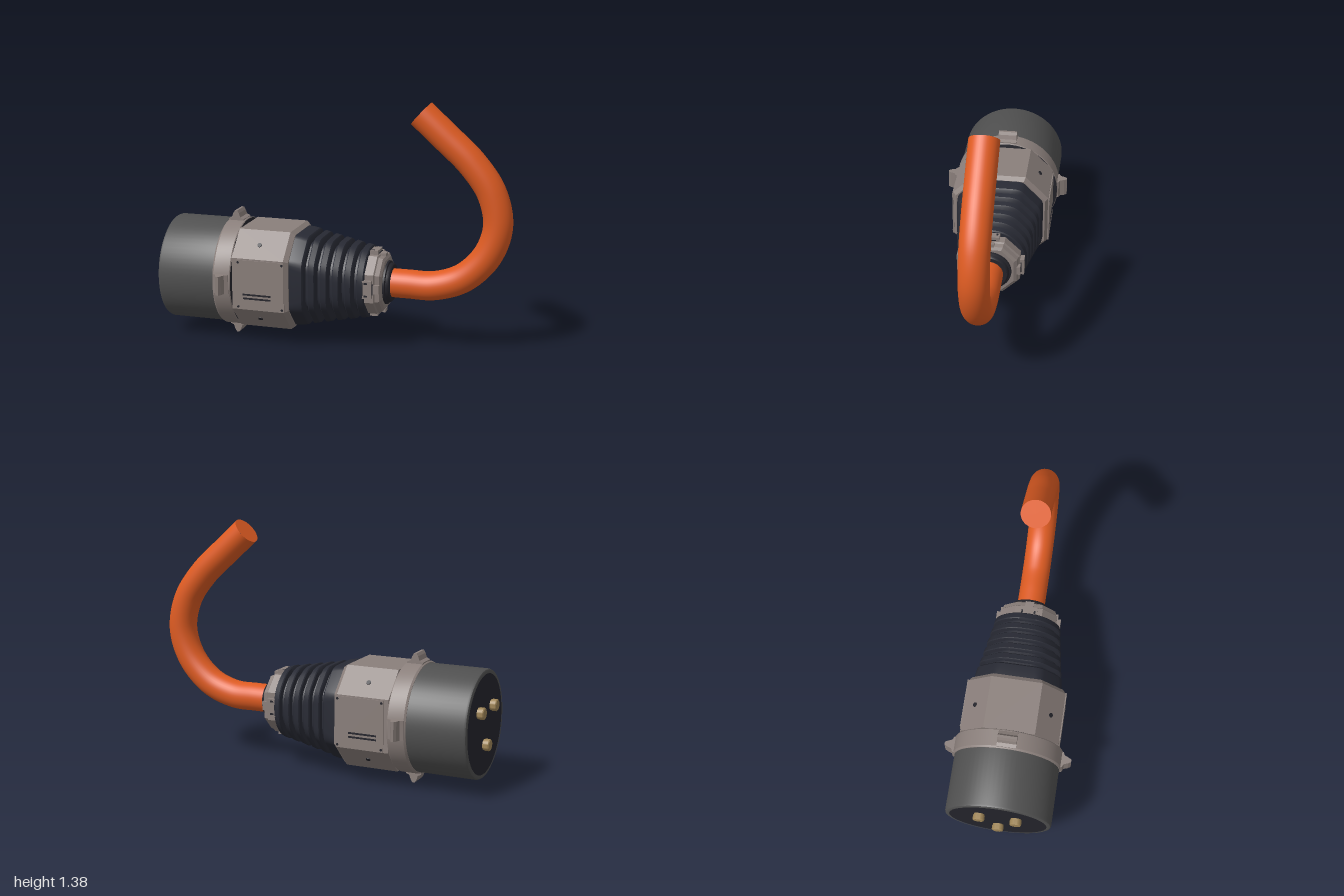
import * as THREE from 'three';
import { toCreasedNormals } from 'three/addons/utils/BufferGeometryUtils.js';

const mat = (name, color) => Object.assign(new THREE.MeshStandardMaterial({ color }), { name });

// Round part along the x axis from [x, radius] pairs
function turned(profile, segments = 64) {
  const g = new THREE.LatheGeometry(profile.map(([x, r]) => new THREE.Vector2(r, x)), segments);
  g.rotateZ(-Math.PI / 2);
  return toCreasedNormals(g, 0.6);
}

// Octagon in the yz plane: half size a, half flat c, corners softened by s (0 = sharp)
function octagon(a, c, s = 0, zScale = 1) {
  const p = [[a, -c], [a, c], [c, a], [-c, a], [-a, c], [-a, -c], [-c, -a], [c, -a]];
  if (!s) return p.map(([y, z]) => [y, z * zScale]);
  const out = [];
  p.forEach((q, i) => {
    const before = p[(i + 7) % 8], after = p[(i + 1) % 8];
    for (let k = 0; k <= 4; k++) {
      const t = k / 4, u = s * (1 - t) ** 2, v = s * t ** 2;
      const mix = (n) => q[n] + (before[n] - q[n]) * u + (after[n] - q[n]) * v;
      out.push([mix(0), mix(1) * zScale]);
    }
  });
  return out;
}

// Skin over rings given as { x, ring }, closed at both ends
function loft(rows, crease = 0.5) {
  const v = [], n = rows[0].ring.length;
  const at = (i, j) => [rows[i].x, ...rows[i].ring[j % n]];
  const last = rows.length - 1;
  for (let j = 0; j < n; j++) {
    for (let i = 0; i < last; i++) {
      const a = at(i, j), b = at(i, j + 1), c = at(i + 1, j + 1), d = at(i + 1, j);
      v.push(...a, ...b, ...c, ...a, ...c, ...d);
    }
    v.push(rows[0].x, 0, 0, ...at(0, j + 1), ...at(0, j));
    v.push(rows[last].x, 0, 0, ...at(last, j), ...at(last, j + 1));
  }
  const g = new THREE.BufferGeometry();
  g.setAttribute('position', new THREE.Float32BufferAttribute(v, 3));
  return toCreasedNormals(g, crease);
}

export function createModel() {
  const grey = mat('dark grey shell', 0x505050);
  const taupe = mat('warm grey housing', 0x8a7f7b);
  const rubber = mat('black blue rubber', 0x282a34);
  const dark = mat('dark details', 0x25252c);
  const orange = mat('orange cable', 0xdd5b22);
  const brass = mat('brass', 0xa08658);

  const model = new THREE.Group();
  const plug = new THREE.Group();
  plug.name = 'plug';
  plug.position.y = 0.3625;
  model.add(plug);

  const add = (name, geo, material, parent = plug, pos = [0, 0, 0]) => {
    const m = new THREE.Mesh(geo, material);
    m.name = name;
    m.position.set(...pos);
    parent.add(m);
    return m;
  };
  const box = (name, size, pos, material, parent) =>
    add(name, new THREE.BoxGeometry(...size), material, parent, pos);
  // Group whose local y points outward at the given angle about the axis
  const spoke = (name, angle) => {
    const g = new THREE.Group();
    g.name = name;
    g.rotation.x = angle;
    plug.add(g);
    return g;
  };

  // Socket shell, contact face and pins
  add('shell', turned([[-0.966, 0.275], [-0.966, 0.288], [-0.962, 0.296], [-0.952, 0.3], [-0.62, 0.3]]), grey);
  add('contactFace', turned([[-0.963, 0], [-0.963, 0.28], [-0.93, 0.28]]), dark);
  for (const [y, z] of [[0.085, -0.103], [0.085, 0.103], [-0.112, 0]]) {
    add('pin', turned([[-1, 0], [-1, 0.028], [-0.995, 0.033], [-0.972, 0.033], [-0.972, 0.03], [-0.94, 0.03]], 24),
      brass, plug, [0, y, z]);
  }

  // Collar with four lugs
  add('collar', turned([[-0.632, 0.29], [-0.632, 0.303], [-0.622, 0.31], [-0.53, 0.31], [-0.525, 0.306]]), taupe);
  add('collarBack', turned([[-0.525, 0.306], [-0.523, 0.3], [-0.523, 0]]), dark);
  const lugShape = new THREE.Shape([
    [-0.625, 0.29], [-0.535, 0.29], [-0.535, 0.313], [-0.555, 0.322], [-0.564, 0.346], [-0.574, 0.362],
    [-0.588, 0.362], [-0.598, 0.346], [-0.606, 0.322], [-0.625, 0.313],
  ].map((p) => new THREE.Vector2(...p)));
  const lugGeo = new THREE.ExtrudeGeometry(lugShape, { depth: 0.108, bevelEnabled: false });
  lugGeo.translate(0, 0, -0.054);

  // Octagonal housing with a bevelled rear edge
  add('housing', loft([
    { x: -0.524, ring: octagon(0.283, 0.147, 0, 0.985) },
    { x: -0.222, ring: octagon(0.283, 0.147, 0, 0.985) },
    { x: -0.198, ring: octagon(0.265, 0.138, 0, 0.985) },
  ], 0.2), taupe);

  // Side cover plates with slots and corner screws
  for (const side of [1, -1]) {
    const cover = new THREE.Group();
    cover.name = 'coverPlate';
    plug.add(cover);
    box('plate', [0.28, 0.284, 0.008], [-0.356, -0.002, side * 0.281], taupe, cover);
    for (const y of [-0.058, -0.08]) box('slot', [0.165, 0.01, 0.004], [-0.375, y, side * 0.2845], dark, cover);
    for (const x of [-0.485, -0.227]) for (const y of [-0.13, 0.126]) {
      const s = add('plateScrew', new THREE.CylinderGeometry(0.007, 0.007, 0.005, 12), dark, cover, [x, y, side * 0.285]);
      s.rotation.x = Math.PI / 2;
    }
  }

  // Ribbed rubber boot, octagonal at the housing and rounder at the nut
  const bootRow = (x, a) => {
    const t = (x + 0.2) / 0.4;
    return { x, ring: octagon(a, a * (0.52 - 0.1 * t), 0.12 + 0.33 * t, 0.95) };
  };
  const boot = [bootRow(-0.2, 0.264), bootRow(-0.165, 0.263), bootRow(-0.128, 0.258), bootRow(-0.12, 0.25)];
  for (let i = 0; i < 5; i++) {
    const x = -0.118 + i * 0.067, r = 0.251 - i * 0.0105;
    boot.push(bootRow(x + 0.004, r - 0.03), bootRow(x + 0.018, r - 0.03), bootRow(x + 0.023, r - 0.005),
      bootRow(x + 0.028, r), bootRow(x + 0.057, r - 0.006), bootRow(x + 0.062, r - 0.013));
  }
  add('boot', loft(boot, 0.6), rubber);

  // Clamp nut and sleeve
  const nutRow = (x, a) => ({ x, ring: octagon(a, a * 0.48) });
  add('clampNut', loft([nutRow(0.188, 0.158), nutRow(0.196, 0.166), nutRow(0.262, 0.166),
    nutRow(0.268, 0.158), nutRow(0.292, 0.152), nutRow(0.302, 0.136)], 0.2), taupe);
  add('sleeve', turned([[0.29, 0.125], [0.312, 0.122], [0.316, 0.112], [0.33, 0.108], [0.335, 0.102], [0.335, 0.075]]), dark);

  for (let k = 0; k < 4; k++) {
    const square = spoke('quarterDetails', k * Math.PI / 2);
    add('lug', lugGeo, taupe, square);
    // Nut clip with its latch
    box('clip', [0.055, 0.035, 0.1], [0.229, 0.172, 0], taupe, square);
    box('clipLatch', [0.045, 0.02, 0.05], [0.273, 0.161, 0], taupe, square);
    box('clipSlot', [0.008, 0.004, 0.064], [0.258, 0.172, 0], dark, square);
    for (const z of [-0.036, 0.036]) box('clipNotch', [0.02, 0.004, 0.01], [0.225, 0.1885, z], dark, square);
    // Screw on the sloping housing face
    const diagonal = spoke('diagonalDetails', (k + 0.5) * Math.PI / 2);
    add('housingScrew', new THREE.CylinderGeometry(0.013, 0.013, 0.006, 16), dark, diagonal, [-0.38, 0.303, 0]);
  }

  // Bent cable with closed end
  const path = new THREE.CatmullRomCurve3([
    [0.28, 0.3625], [0.42, 0.3625], [0.57, 0.366], [0.73, 0.425], [0.86, 0.56], [0.914, 0.73],
    [0.875, 0.91], [0.765, 1.065], [0.62, 1.2], [0.48, 1.325],
  ].map(([x, y]) => new THREE.Vector3(x, y, 0)), false, 'centripetal');
  add('cable', new THREE.TubeGeometry(path, 96, 0.081, 40), orange, model);
  const end = add('cableEnd', new THREE.CircleGeometry(0.081, 40), orange, model, path.getPoint(1).toArray());
  end.quaternion.setFromUnitVectors(new THREE.Vector3(0, 0, 1), path.getTangent(1));

  return model;
}
